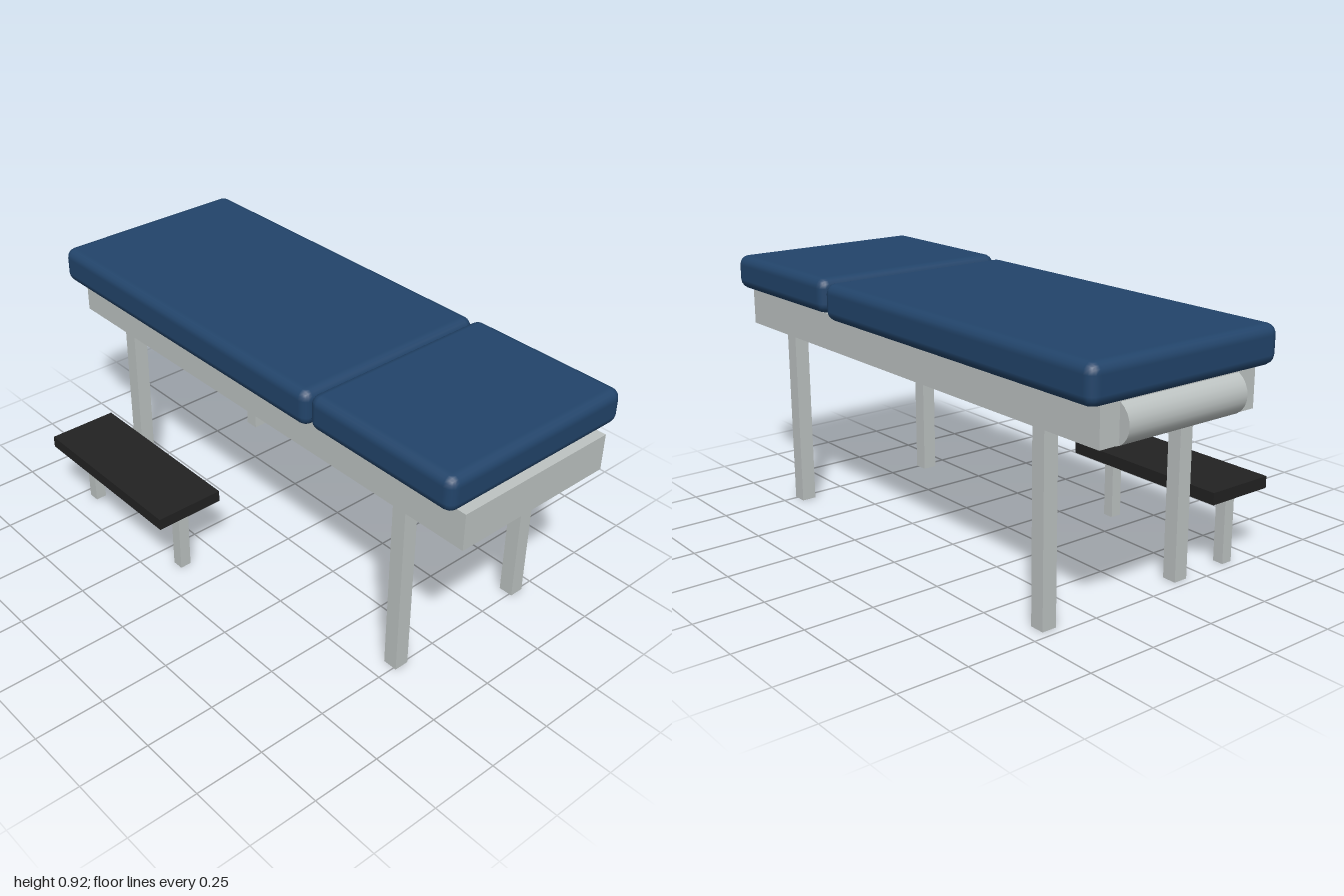
import * as THREE from 'three';
import { RoundedBoxGeometry } from 'three/addons/geometries/RoundedBoxGeometry.js';

const flat = (name, color) => {
  const material = new THREE.MeshStandardMaterial({ color });
  material.name = name;
  return material;
};

export function createModel() {
  const group = new THREE.Group();
  group.name = 'treatmentTable';
  const blue = flat('blueVinyl', 0x22446a);
  const grey = flat('greyMetal', 0xbdc3c2);
  const black = flat('blackRubber', 0x222222);

  const add = (name, geometry, material, x, y, z) => {
    const mesh = new THREE.Mesh(geometry, material);
    mesh.name = name;
    mesh.position.set(x, y, z);
    group.add(mesh);
    return mesh;
  };
  // Box given by its lower and upper bounds; a radius rounds its edges
  const block = (name, material, [x0, x1], [y0, y1], [z0, z1], radius = 0) => {
    const size = [x1 - x0, y1 - y0, z1 - z0];
    const geometry = radius
      ? new RoundedBoxGeometry(...size, 2, radius)
      : new THREE.BoxGeometry(...size);
    return add(name, geometry, material, (x0 + x1) / 2, (y0 + y1) / 2, (z0 + z1) / 2);
  };

  // Padded top in two sections, the head section slightly raised
  block('bodyCushion', blue, [-0.995, 0.375], [0.783, 0.915], [-0.515, 0.253], 0.036);
  block('headCushion', blue, [0.385, 0.997], [0.798, 0.924], [-0.515, 0.253], 0.036);

  // Frame and its four legs
  block('frame', grey, [-0.96, 1.0], [0.65, 0.782], [-0.449, 0.187]);
  for (const x of [-0.693, 0.733]) {
    for (const z of [0.156, -0.417]) {
      block('tableLeg', grey, [x - 0.027, x + 0.027], [0, 0.65], [z - 0.027, z + 0.027]);
    }
  }

  // Paper roll across the foot end
  const roll = add('paperRoll', new THREE.CylinderGeometry(0.073, 0.073, 0.486, 24), grey, -0.927, 0.713, -0.131);
  roll.rotation.x = Math.PI / 2;

  // Step stool at the front
  block('stepTread', black, [-0.76, -0.08], [0.255, 0.298], [0.255, 0.515]);
  for (const x of [-0.695, -0.145]) {
    block('stepLeg', grey, [x - 0.021, x + 0.021], [0, 0.255], [0.364, 0.406]);
  }
  return group;
}
